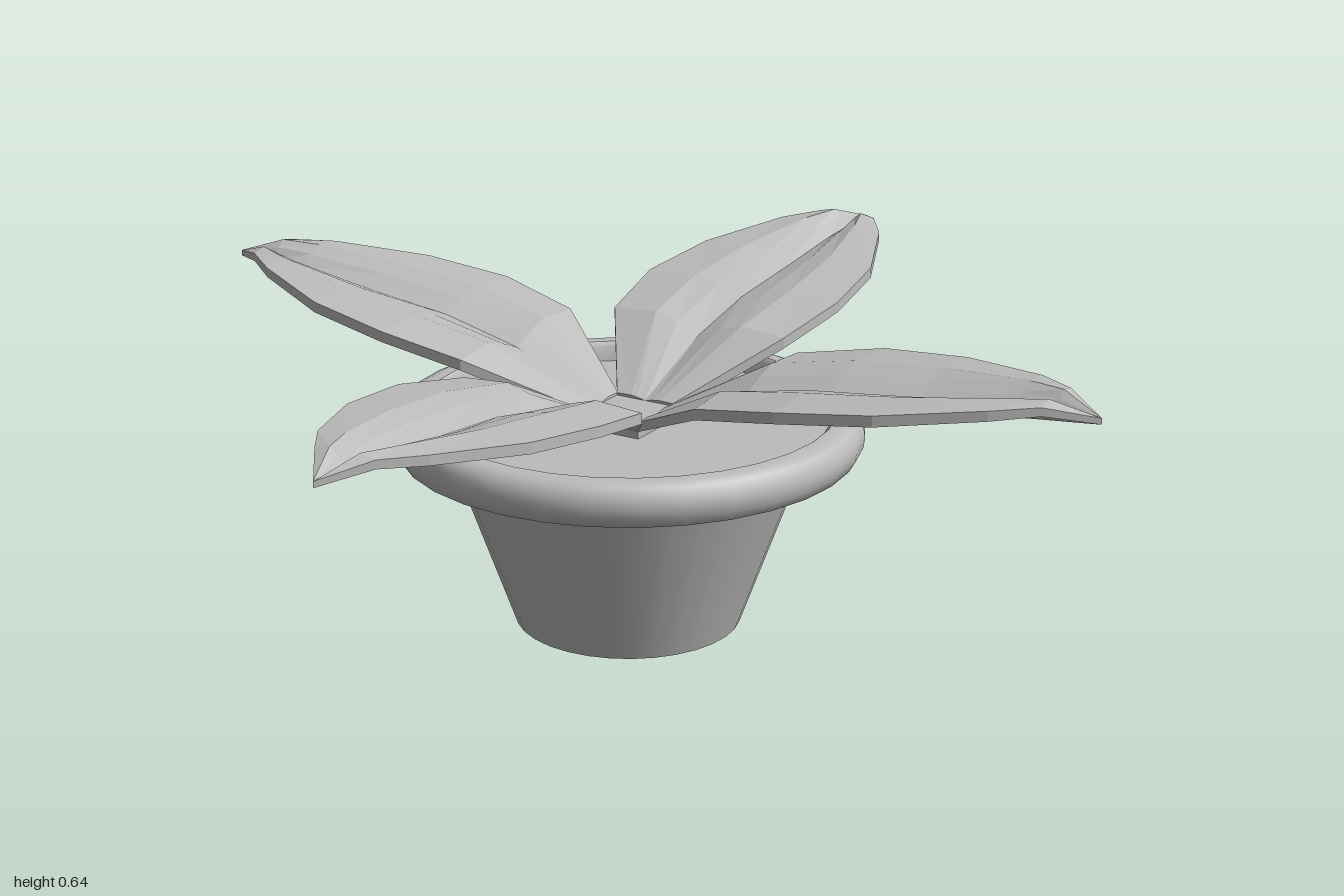
import * as THREE from 'three';

const grey = new THREE.MeshStandardMaterial({ color: 0xbcbcbc });
grey.name = 'plain grey';

// Rows along a leaf: distance from centre, half width, underside of midrib, fold height, thickness
const ROWS = [
  [0.065, 0.065, 0.422, 0.006, 0.02],
  [0.27, 0.2, 0.5, 0.036, 0.022],
  [0.45, 0.225, 0.538, 0.03, 0.022],
  [0.64, 0.2, 0.556, 0.034, 0.022],
  [0.83, 0.12, 0.578, 0.034, 0.02],
  [0.91, 0.065, 0.586, 0.034, 0.017],
  [1.0, 0, 0.595, 0, 0.012],
];
// Columns across a leaf: fraction of half width, fraction of fold height
const COLS = [[-1, 0.8], [-0.5, 1], [-0.25, 0.6], [0, 0], [0.25, 0.6], [0.5, 1], [1, 0.8]];

// Faceted leaf with thickness, running out along +z
function leafGeometry(sway) {
  const pos = [], index = [];
  const n = COLS.length, m = ROWS.length;
  for (const [r, half, y, fold, thick] of ROWS) {
    for (const [u, h] of COLS) {
      const x = u * half + sway * r;
      pos.push(x, y + h * fold + thick, r, x, y + h * fold, r);
    }
  }
  const top = (i, j) => 2 * (i * n + j);
  const low = (i, j) => top(i, j) + 1;
  const quad = (a, b, c, d) => index.push(a, b, c, a, c, d);
  for (let i = 0; i < m - 1; i++) {
    for (let j = 0; j < n - 1; j++) {
      quad(top(i, j), top(i + 1, j), top(i + 1, j + 1), top(i, j + 1));
      quad(low(i, j), low(i, j + 1), low(i + 1, j + 1), low(i + 1, j));
    }
    quad(top(i, 0), low(i, 0), low(i + 1, 0), top(i + 1, 0));
    quad(top(i + 1, n - 1), low(i + 1, n - 1), low(i, n - 1), top(i, n - 1));
  }
  for (let j = 0; j < n - 1; j++) quad(top(0, j + 1), low(0, j + 1), low(0, j), top(0, j));

  const indexed = new THREE.BufferGeometry();
  indexed.setAttribute('position', new THREE.Float32BufferAttribute(pos, 3));
  indexed.setIndex(index);
  const flat = indexed.toNonIndexed();
  flat.computeVertexNormals();
  return flat;
}

export function createModel() {
  const model = new THREE.Group();
  model.name = 'pottedPlant';

  const add = (name, geometry, x = 0, y = 0, z = 0) => {
    const mesh = new THREE.Mesh(geometry, grey);
    mesh.name = name;
    mesh.position.set(x, y, z);
    model.add(mesh);
    return mesh;
  };
  const cx = -0.003, cz = -0.008;

  // Tapered pot with a closed base
  add('pot', new THREE.CylinderGeometry(0.358, 0.228, 0.365, 32), cx, 0.1825, cz);

  // Rounded rim: flat underside, bulging outside, short inner wall
  const lathe = (points) =>
    new THREE.LatheGeometry(points.map(([r, y]) => new THREE.Vector2(r, y)), 32);
  add('rimUnderside', lathe([[0.35, 0.362], [0.44, 0.36]]), cx, 0, cz);
  add('rim', lathe([
    [0.44, 0.36], [0.457, 0.366], [0.468, 0.385], [0.471, 0.405],
    [0.468, 0.425], [0.457, 0.442], [0.44, 0.449], [0.415, 0.449],
  ]), cx, 0, cz);
  add('rimInnerWall', lathe([[0.415, 0.449], [0.405, 0.44], [0.4, 0.405]]), cx, 0, cz);

  // Soil surface
  const soil = add('soil', new THREE.CircleGeometry(0.402, 32), cx, 0.41, cz);
  soil.rotation.x = -Math.PI / 2;

  // Square heart where the leaves meet
  add('leafHeart', new THREE.BoxGeometry(0.13, 0.034, 0.13), cx, 0.425, -0.004);

  // Four leaves, each leaning slightly sideways
  const leaves = [
    ['frontLeaf', 0, -0.01],
    ['leftLeaf', Math.PI / 2, 0],
    ['backLeaf', Math.PI, -0.01],
    ['rightLeaf', -Math.PI / 2, -0.05],
  ];
  for (const [name, angle, sway] of leaves) {
    add(name, leafGeometry(sway)).rotation.y = angle;
  }
  return model;
}
